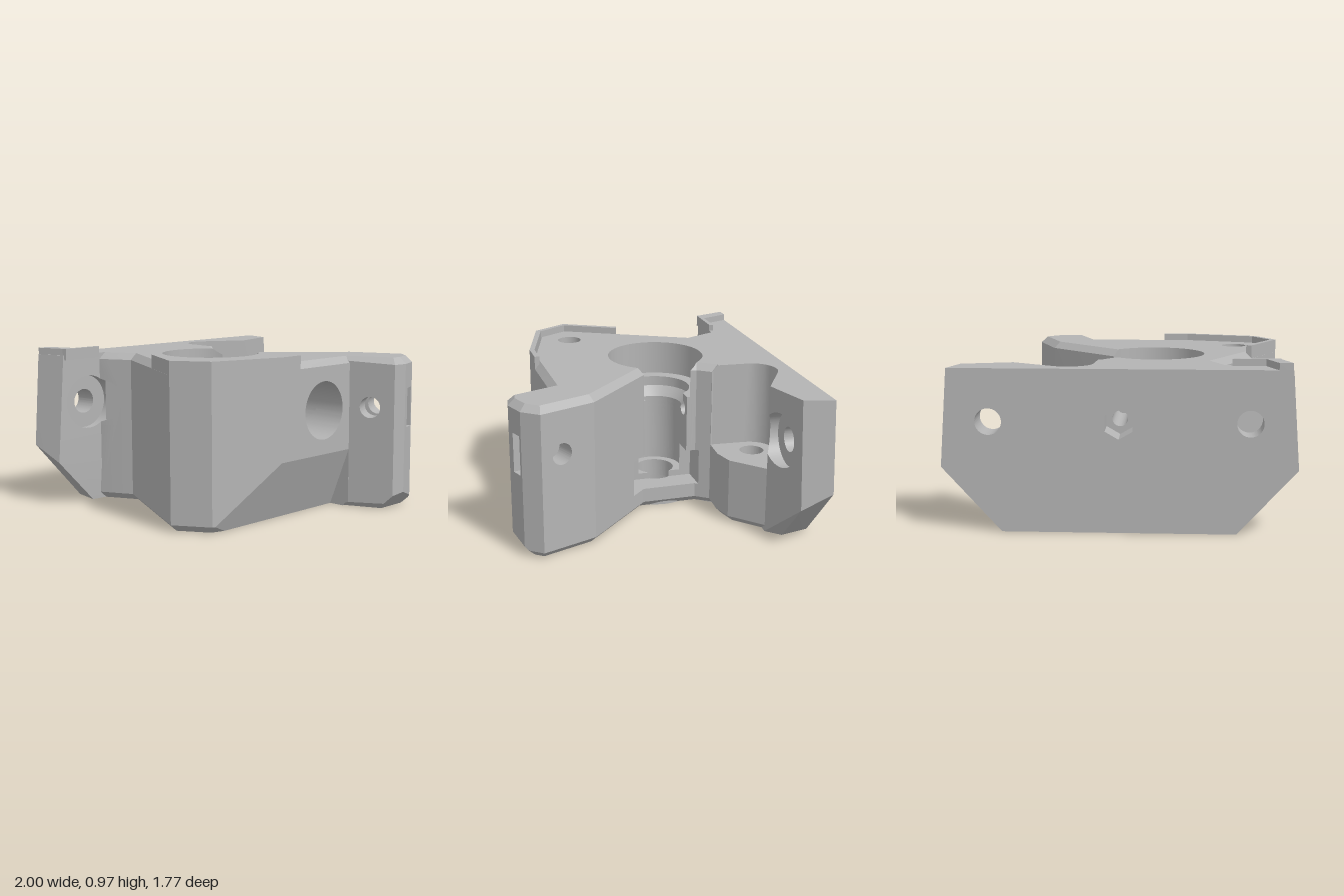
import * as THREE from 'three';
import { toCreasedNormals } from 'three/addons/utils/BufferGeometryUtils.js';
import { ConvexGeometry } from 'three/addons/geometries/ConvexGeometry.js';

const EPS = 1e-5;
const V = (x, y, z) => new THREE.Vector3(x, y, z);

// ---- convex blocks: faces plus bounding planes ----
function convex(geo) {
  const g = geo.index ? geo.toNonIndexed() : geo;
  const p = g.attributes.position, polys = [], planes = [];
  for (let i = 0; i < p.count; i += 3) {
    const [a, b, c] = [0, 1, 2].map((k) => new THREE.Vector3().fromBufferAttribute(p, i + k));
    const n = b.clone().sub(a).cross(c.clone().sub(a));
    if (n.length() < 1e-9) continue;
    const plane = new THREE.Plane().setFromNormalAndCoplanarPoint(n.normalize(), a);
    polys.push([a, b, c]);
    if (!planes.some((q) => q.normal.dot(n) > 0.999999 && Math.abs(q.constant - plane.constant) < EPS)) planes.push(plane);
  }
  return { polys, planes };
}
const hull = (pts) => convex(new ConvexGeometry(pts));
// prism standing on an (x, z) polygon
const prism = (pts, y0, y1) => hull(pts.flatMap(([x, z]) => [V(x, y0, z), V(x, y1, z)]));
// prism lying along x with a (z, y) polygon
const beam = (pts, x0, x1) => hull(pts.flatMap(([z, y]) => [V(x0, y, z), V(x1, y, z)]));
function rod(a, b, r, r2 = r, sides = 48) {
  const dir = b.clone().sub(a), g = new THREE.CylinderGeometry(r2, r, dir.length(), sides);
  g.applyQuaternion(new THREE.Quaternion().setFromUnitVectors(V(0, 1, 0), dir.normalize()));
  const m = a.clone().add(b).multiplyScalar(0.5);
  return convex(g.translate(m.x, m.y, m.z));
}
const upright = (x, z, r, y0, y1, r2 = r) => rod(V(x, y0, z), V(x, y1, z), r, r2);
const along = (x, y, r, z0, z1, sides = 48) => rod(V(x, y, z0), V(x, y, z1), r, r, sides);

// ---- cutting convex blocks out of convex blocks ----
function split(poly, plane) {
  const d = poly.map((v) => plane.distanceToPoint(v));
  if (d.every((t) => t > -EPS)) return [poly, null];
  if (d.every((t) => t < EPS)) return [null, poly];
  const front = [], back = [];
  poly.forEach((v, i) => {
    const j = (i + 1) % poly.length;
    if (d[i] > -EPS) front.push(v);
    if (d[i] < EPS) back.push(v);
    if ((d[i] > EPS && d[j] < -EPS) || (d[i] < -EPS && d[j] > EPS)) {
      const m = v.clone().lerp(poly[j], d[i] / (d[i] - d[j]));
      front.push(m);
      back.push(m);
    }
  });
  return [front, back];
}
function clip(poly, block) {
  const outside = [];
  let rest = poly;
  for (const plane of block.planes) {
    const [f, b] = split(rest, plane);
    if (!b) return { outside: [poly], inside: null };
    if (f) outside.push(f);
    rest = b;
  }
  return { outside, inside: rest };
}
const minus = (polys, blocks) => blocks.reduce((ps, c) => ps.flatMap((p) => clip(p, c).outside), polys);
function carve(solids, cutters) {
  const out = solids.flatMap((s) => minus(s.polys, cutters));
  for (const c of cutters) {
    const others = cutters.filter((o) => o !== c);
    for (const s of solids) {
      const walls = c.polys.map((p) => clip(p, s).inside).filter(Boolean);
      out.push(...minus(walls, others).map((p) => [...p].reverse()));
    }
  }
  const pos = [];
  for (const p of out) {
    for (let i = 1; i + 1 < p.length; i++) pos.push(...[p[0], p[i], p[i + 1]].flatMap((v) => v.toArray()));
  }
  const g = new THREE.BufferGeometry();
  g.setAttribute('position', new THREE.Float32BufferAttribute(pos, 3));
  return toCreasedNormals(g, 0.25);
}

// outline moved inward by d with mitred corners
function inset(pts, d) {
  const n = pts.length;
  const normal = (a, b) => new THREE.Vector2(b[1] - a[1], a[0] - b[0]).normalize();
  return pts.map((p, i) => {
    const n1 = normal(pts[(i + n - 1) % n], p), n2 = normal(p, pts[(i + 1) % n]);
    const k = d / (1 + n1.dot(n2));
    return [p[0] + (n1.x + n2.x) * k, p[1] + (n1.y + n2.y) * k];
  });
}

export function createModel() {
  const group = new THREE.Group();
  const grey = new THREE.MeshStandardMaterial({ color: 0xb4b4b4 });
  grey.name = 'grey';
  const add = (name, solids, cutters) => {
    const mesh = new THREE.Mesh(carve(solids, cutters), grey);
    mesh.name = name;
    group.add(mesh);
  };

  // body with arm and boss: chamfered outline, split into convex pieces
  const outline = [
    [-0.66, -0.8], [-0.64, -0.7], [-0.55, -0.5], [-0.94, 0.26], [-0.82, 0.47], [-0.38, 0.6], [0.25, 0.6],
    [0.33, 0.87], [0.42, 0.885], [0.55, 0.84], [0.63, 0.74], [0.5, 0.4], [0.08, -0.02], [0.08, -0.36],
    [0.14, -0.44], [0.3, -0.43], [0.43, -0.46], [0.62, -0.63], [0.64, -0.8],
  ];
  const small = inset(outline, 0.04);
  const levels = [[0, small], [0.04, outline], [0.89, outline], [0.93, small]];
  const body = [
    [2, 3, 4, 5, 6, 12], [6, 7, 8, 9, 10, 11, 12], [1, 2, 12, 13], [0, 1, 13, 14], [0, 14, 15, 16, 17, 18],
  ].map((ids) => hull(levels.flatMap(([y, ring]) => ids.map((i) => V(ring[i][0], y, ring[i][1])))));

  // back plate with tapered ends
  const plate = [hull([
    ...[-1, 1].flatMap((s) => [
      V(s * 0.96, 0.93, -0.89), V(s, 0.37, -0.89), V(s * 0.66, 0, -0.89),
      V(s * 0.91, 0.93, -0.71), V(s * 0.96, 0.27, -0.71), V(s * 0.7, 0, -0.71),
    ]),
    V(0.62, 0.93, -0.63), V(0.62, 0, -0.63),
  ])];

  // stepped centre bore, open to the side
  const [cx, cz] = [-0.18, -0.17];
  const bore = [
    upright(cx, cz, 0.3, 0.72, 1.2),
    upright(cx, cz, 0.22, 0.659, 0.8),
    upright(cx, cz, 0.17, 0.6, 0.66, 0.22),
    upright(cx, cz, 0.17, 0.17, 0.62),
    upright(cx, cz, 0.12, -0.1, 0.2),
    upright(cx, cz, 0.15, -0.1, 0.06),
    prism([[cx, -0.03], [0.3, -0.03], [0.3, -0.3], [cx, -0.3]], 0.17, 0.75),
    prism([[-0.08, 0.07], [0.3, 0.07], [0.3, -0.38], [-0.08, -0.38]], 0.13, 0.36),
  ];

  // vertical screw holes, counterbored below
  const screws = [[-0.675, 0.275], [0.3, -0.655]].flatMap(([x, z]) => [
    upright(x, z, 0.075, -0.1, 1.2), upright(x, z, 0.11, -0.1, 0.12),
  ]);

  // horizontal holes through the plate and body
  const plateHoles = [
    along(0.73, 0.63, 0.075, -1, -0.5), along(-0.73, 0.63, 0.075, -1, -0.6),
    along(0.73, 0.63, 0.165, -0.715, -0.4), along(-0.73, 0.63, 0.165, -0.745, -0.66),
    along(0, 0.625, 0.09, -1, -0.72, 6), along(0, 0.625, 0.045, -1, 0.9),
    along(0, 0.625, 0.09, 0.1, 0.3, 6), along(0, 0.625, 0.175, 0.25, 0.8),
  ];

  // rounded clearance above the boss
  const arc = Array.from({ length: 13 }, (_, i) => {
    const t = Math.PI + (i * Math.PI) / 18;
    return [0.3 + 0.145 * Math.cos(t), -0.655 + 0.145 * Math.sin(t)];
  });
  const clearance = prism([...arc, [0.62, -0.63], [0.9, -0.44], [0.9, -0.3], [0.2, -0.3], [0.14, -0.45]], 0.41, 1.2);

  // arm cross hole and nut slot
  const slot = new THREE.BoxGeometry(0.075, 0.24, 0.42).rotateY(0.37).translate(0.46, 0.62, 0.76);
  const arm = [
    rod(V(0.425 - 0.372, 0.625, 0.67 + 0.144), V(0.425 + 0.372, 0.625, 0.67 - 0.144), 0.065),
    convex(slot),
    beam([[0.73, -0.05], [0.94, 0.16], [0.94, -0.05]], 0.1, 0.9),
  ];

  // sloped lower front and underside recess
  const slope = beam([[0.4405, -0.05], [0.639, 0.46], [0.75, 0.46], [0.75, -0.05]], -1.1, 0.24);
  const recess = [
    prism([[-0.8, 0.26], [-0.72, 0.36], [0.16, 0.36], [0, 0.02], [-0.44, -0.42]], -0.1, 0.1),
    prism([[-0.42, -0.41], [-0.01, 0.04], [0.05, -0.68], [-0.46, -0.68]], -0.1, 0.1),
  ];

  const shared = [...bore, ...screws, ...plateHoles, clearance];
  add('body', body, [...shared, ...arm, slope, ...recess]);
  add('backPlate', plate, [...shared, ...recess]);

  // rings and ribs inside the recess
  const rib = (x0, z0, x1, z1) => {
    const n = new THREE.Vector2(z1 - z0, x0 - x1).setLength(0.035);
    return prism([[x0 + n.x, z0 + n.y], [x1 + n.x, z1 + n.y], [x1 - n.x, z1 - n.y], [x0 - n.x, z0 - n.y]], 0, 0.11);
  };
  add('undersideRibs', [
    upright(cx, cz, 0.24, 0, 0.11), upright(-0.675, 0.275, 0.15, 0, 0.11),
    rib(-0.675, 0.275, cx, cz), rib(cx, cz, 0.1, -0.5), rib(cx, cz, 0.08, 0.33), rib(cx, cz, -0.42, -0.55),
  ], [...bore, ...screws]);

  // raised rim on the left edge, one piece per straight run
  const outer = [[-0.77, -0.07], [-0.94, 0.26], [-0.82, 0.47], [-0.38, 0.6], [-0.22, 0.6]];
  const inner = [[-0.738, -0.06], [-0.905, 0.26], [-0.8, 0.442], [-0.375, 0.57], [-0.22, 0.57]];
  add('edgeRim', [0, 1, 2, 3].map((i) => prism([outer[i], outer[i + 1], inner[i + 1], inner[i]], 0.87, 0.97)), []);

  // raised lip on the back corner
  add('cornerLip', [
    prism([[-0.957, -0.89], [-0.88, -0.89], [-0.815, -0.71], [-0.9, -0.71]], 0.9, 0.97),
    prism([[-0.905, -0.72], [-0.63, -0.72], [-0.64, -0.695], [-0.9, -0.695]], 0.9, 0.97),
  ], []);
  return group;
}
